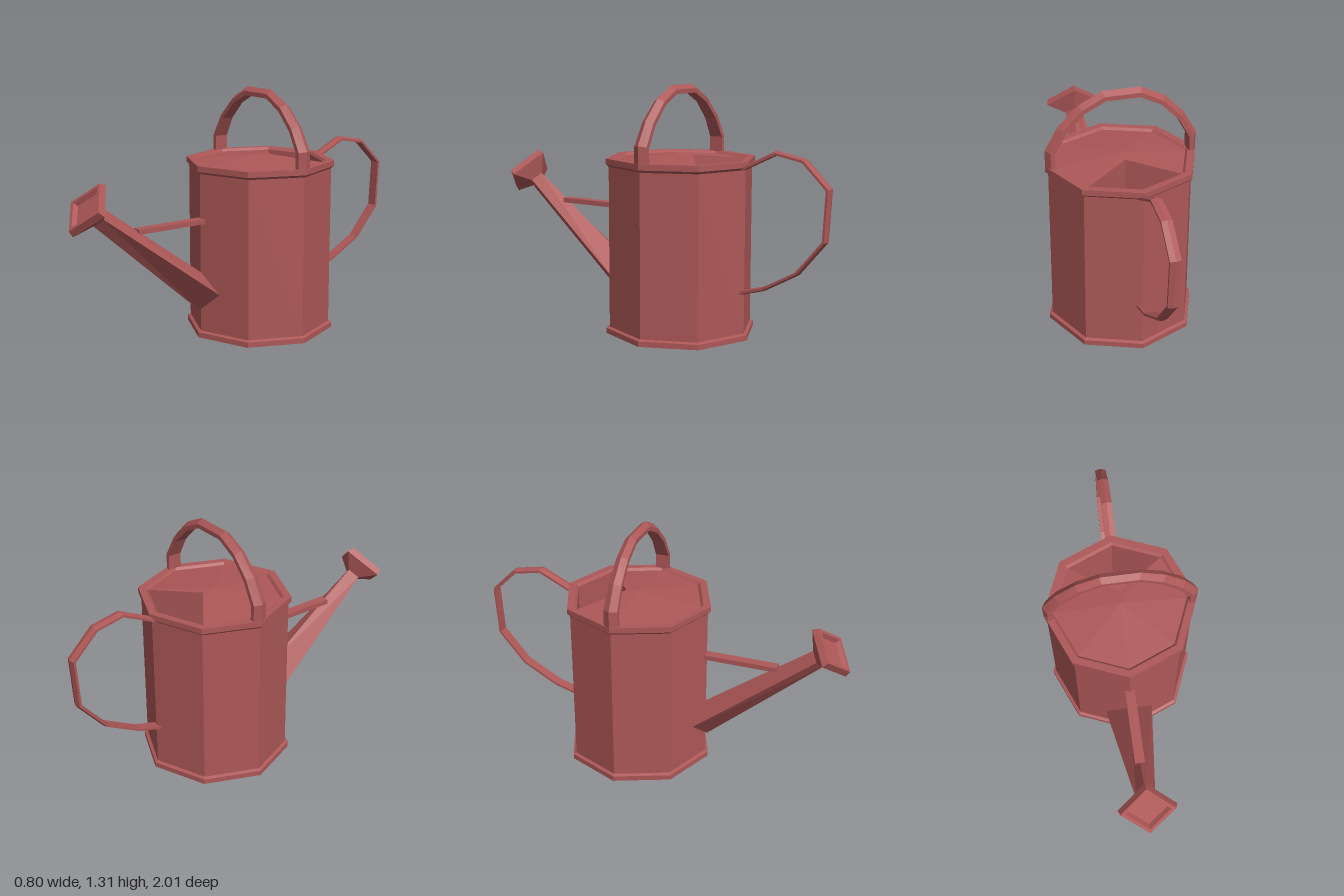
import * as THREE from 'three';

const V = (x, y, z) => new THREE.Vector3(x, y, z);
const CZ = -0.14; // centre of the can along z

export function createModel() {
  const group = new THREE.Group();
  const material = new THREE.MeshStandardMaterial({ color: 0xad5757, flatShading: true, side: THREE.DoubleSide });

  const add = (name, geometry, x = 0, y = 0, z = 0) => {
    const mesh = new THREE.Mesh(geometry, material);
    mesh.name = name;
    mesh.position.set(x, y, z);
    group.add(mesh);
    return mesh;
  };

  // Geometry from a list of triangles
  const fromTriangles = (tris) => {
    const g = new THREE.BufferGeometry().setFromPoints(tris.flat());
    g.computeVertexNormals();
    return g;
  };

  // Skin over matching loops of points, closed at both ends
  const loft = (loops) => {
    const tris = [];
    const n = loops[0].length;
    for (let s = 0; s < loops.length - 1; s++) {
      for (let i = 0; i < n; i++) {
        const j = (i + 1) % n;
        const [a, b, c, d] = [loops[s][i], loops[s][j], loops[s + 1][j], loops[s + 1][i]];
        tris.push([a, b, c], [a, c, d]);
      }
    }
    const last = loops[loops.length - 1];
    for (let i = 1; i < n - 1; i++) {
      tris.push([loops[0][0], loops[0][i + 1], loops[0][i]], [last[0], last[i], last[i + 1]]);
    }
    // Turn all faces outward
    const volume = tris.reduce((sum, [a, b, c]) => sum + a.dot(b.clone().cross(c)), 0);
    if (volume < 0) tris.forEach((t) => t.reverse());
    return fromTriangles(tris);
  };

  // Strap with a ridge along its outer side, following a 2D path of [u, v, halfWidth]
  const strap = (path, thickness, ridge, place) => {
    const pts = path.map(([u, v]) => new THREE.Vector2(u, v));
    const loops = pts.map((p, i) => {
      const t1 = pts[Math.max(i, 1)].clone().sub(pts[Math.max(i, 1) - 1]).normalize();
      const k = Math.min(i, pts.length - 2);
      const t2 = pts[k + 1].clone().sub(pts[k]).normalize();
      const t = t1.clone().add(t2).normalize();
      const inward = new THREE.Vector2(-t.y, t.x).divideScalar(t.dot(t1));
      const w = path[i][2];
      return [[0, 0], [w, ridge], [w, thickness], [-w, thickness], [-w, ridge]].map(
        ([side, depth]) => place(p.x + inward.x * depth, p.y + inward.y * depth, side));
    });
    return loft(loops);
  };

  const lathe = (profile, sides) =>
    new THREE.LatheGeometry(profile.map(([r, y]) => new THREE.Vector2(r, y)), sides);

  // Eight-sided can with base band and top rim
  add('body', lathe([[0, 0], [0.402, 0], [0.402, 0.028], [0.385, 0.035], [0.385, 0.887],
    [0.4, 0.9], [0.4, 0.93], [0.36, 0.93], [0.347, 0.917]], 8), 0, 0, CZ);

  // Low conical lid with a notch at the back for filling
  const corner = (i, y = 0.917) => V(0.347 * Math.sin(i * Math.PI / 4), y, 0.347 * Math.cos(i * Math.PI / 4));
  const apex = V(0, 0.953, 0);
  const notch = V(0, 0.946, -0.07);
  const edge = [5, 6, 7, 8, 9, 10, 11].map((i) => corner(i)).concat([notch]);
  add('lid', fromTriangles(edge.map((p, i) => [apex, p, edge[(i + 1) % edge.length]])), 0, 0, CZ);

  // Well below the filling hole
  const mouth = [notch, corner(3), corner(4), corner(5)];
  const floor = mouth.map((p) => V(p.x, 0.45, p.z));
  const well = [[floor[0], floor[1], floor[2]], [floor[0], floor[2], floor[3]]];
  mouth.forEach((p, i) => {
    const j = (i + 1) % 4;
    well.push([p, floor[i], floor[j]], [p, floor[j], mouth[j]]);
  });
  add('fillingWell', fromTriangles(well), 0, 0, CZ);

  // Carrying handle arching over the lid
  const half = [[0.4, 0.905, 0.038], [0.4, 1.02, 0.037], [0.33, 1.142, 0.034], [0.225, 1.245, 0.031], [0.1, 1.307, 0.029]];
  const arch = half.concat(half.map(([u, v, w]) => [-u, v, w]).reverse());
  add('topHandle', strap(arch, 0.045, 0.022, (u, v, side) => V(u, v, side)), 0, 0, CZ);

  // Pouring handle at the back
  const loop = [[-0.51, 0.905], [-0.7, 0.997], [-0.86, 0.966], [-1, 0.828], [-0.985, 0.56],
    [-0.838, 0.385], [-0.645, 0.278], [-0.5, 0.236]].map(([z, y]) => [z, y, 0.028]);
  add('backHandle', strap(loop, 0.02, 0.008, (u, v, side) => V(side, v, u)));

  // Tapering diamond spout
  add('spout', loft([
    [V(0, 0.15, 0.255), V(0.13, 0.26, 0.215), V(0, 0.36, 0.245), V(-0.13, 0.26, 0.215)],
    [V(0, 0.699, 0.871), V(0.048, 0.738, 0.84), V(0, 0.777, 0.809), V(-0.048, 0.738, 0.84)],
  ]));

  // Flared rose with a sunken face
  const rose = add('rose', lathe([[0.05, 0], [0.15, 0.064], [0.14, 0.1], [0.115, 0.1], [0.098, 0.078], [0, 0.078]], 4),
    0, 0.738, 0.84);
  rose.rotation.x = 0.89;

  // Brace between can and spout
  add('brace', new THREE.BoxGeometry(0.052, 0.026, 0.4), 0, 0.638, 0.43);

  return group;
}
